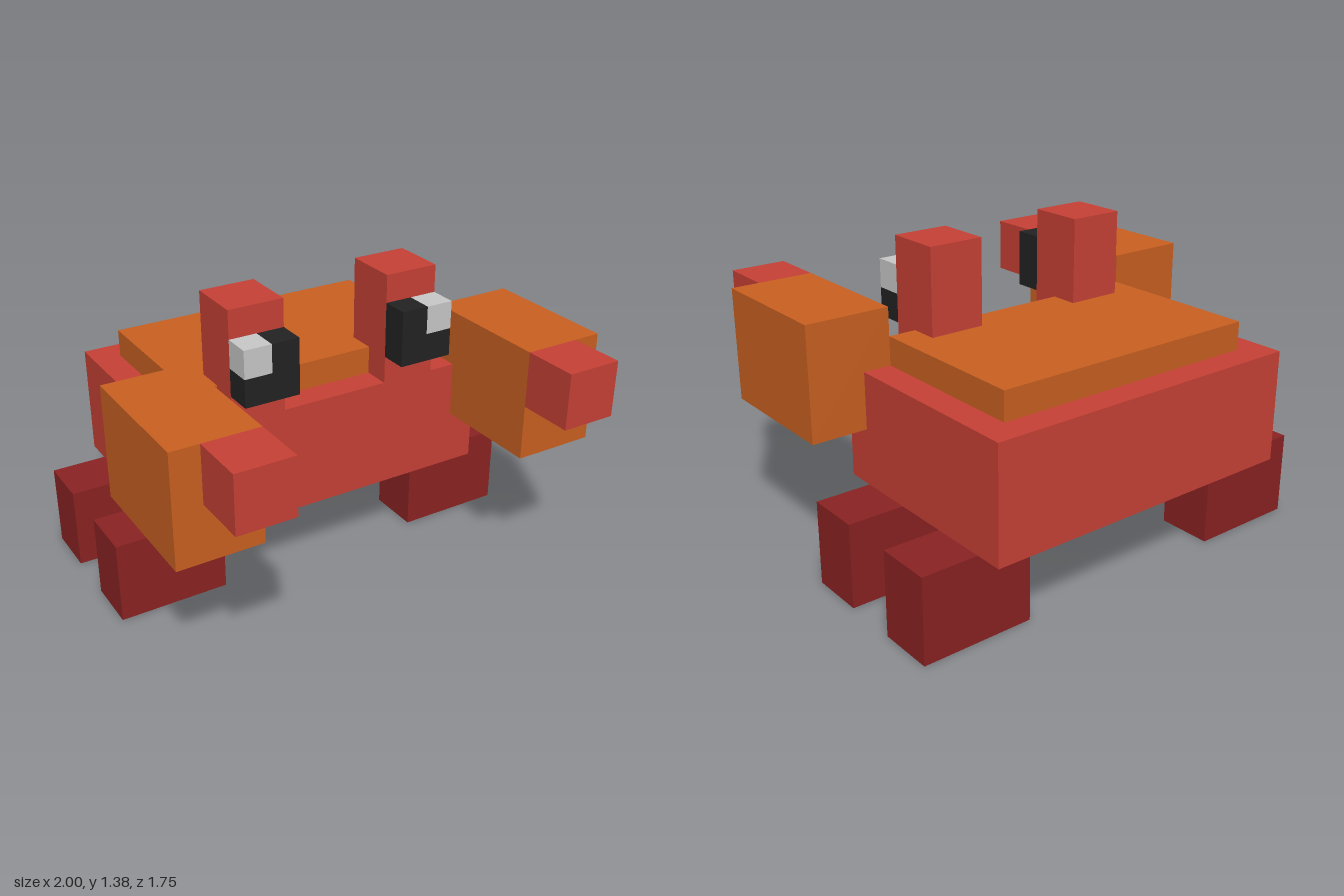
import * as THREE from 'three';

const material = (name, color) => {
  const m = new THREE.MeshStandardMaterial({ color });
  m.name = name;
  return m;
};

export function createModel() {
  const red = material('shell red', 0xc64035);
  const orange = material('claw orange', 0xc96021);
  const darkRed = material('leg dark red', 0x8a2222);
  const black = material('eye black', 0x222222);
  const white = material('eye light grey', 0xc8c8c8);

  const crab = new THREE.Group();
  crab.name = 'crab';

  // Box given by its lower and upper corners; side -1 mirrors it across x = 0
  const box = (name, mat, [x0, y0, z0], [x1, y1, z1], side = 1) => {
    const mesh = new THREE.Mesh(new THREE.BoxGeometry(x1 - x0, y1 - y0, z1 - z0), mat);
    mesh.position.set(side * (x0 + x1) / 2, (y0 + y1) / 2, (z0 + z1) / 2);
    mesh.name = name;
    crab.add(mesh);
  };

  // Body and raised back plate
  box('body', red, [-0.75, 0.375, -0.875], [0.75, 0.875, 0.125]);
  box('backPlate', orange, [-0.625, 0.875, -0.75], [0.625, 1, 0]);

  for (const [label, side] of [['left', 1], ['right', -1]]) {
    // Claw arm with a small pincer at its inner upper corner
    box(label + 'Claw', orange, [0.625, 0.625, 0], [1, 1.125, 0.625], side);
    box(label + 'Pincer', red, [0.625, 0.875, 0.625], [0.875, 1.125, 0.875], side);

    // Legs
    box(label + 'FrontLeg', darkRed, [0.5, 0, -0.25], [1, 0.375, 0], side);
    box(label + 'BackLeg', darkRed, [0.5, 0, -0.75], [1, 0.375, -0.5], side);

    // Eye stalk
    box(label + 'EyeStalk', red, [0.25, 0.875, -0.125], [0.5, 1.375, 0.125], side);

    // L-shaped dark eye, with the highlight filling its outer upper corner
    const outline = [[0.25, 1], [0.5, 1], [0.5, 1.125], [0.375, 1.125], [0.375, 1.25], [0.25, 1.25]];
    const shape = new THREE.Shape(outline.map(([x, y]) => new THREE.Vector2(side * x, y)));
    const eye = new THREE.Mesh(
      new THREE.ExtrudeGeometry(shape, { depth: 0.125, bevelEnabled: false }), black);
    eye.position.z = 0.125;
    eye.name = label + 'Eye';
    crab.add(eye);
    box(label + 'EyeHighlight', white, [0.375, 1.125, 0.125], [0.5, 1.25, 0.25], side);
  }

  return crab;
}
